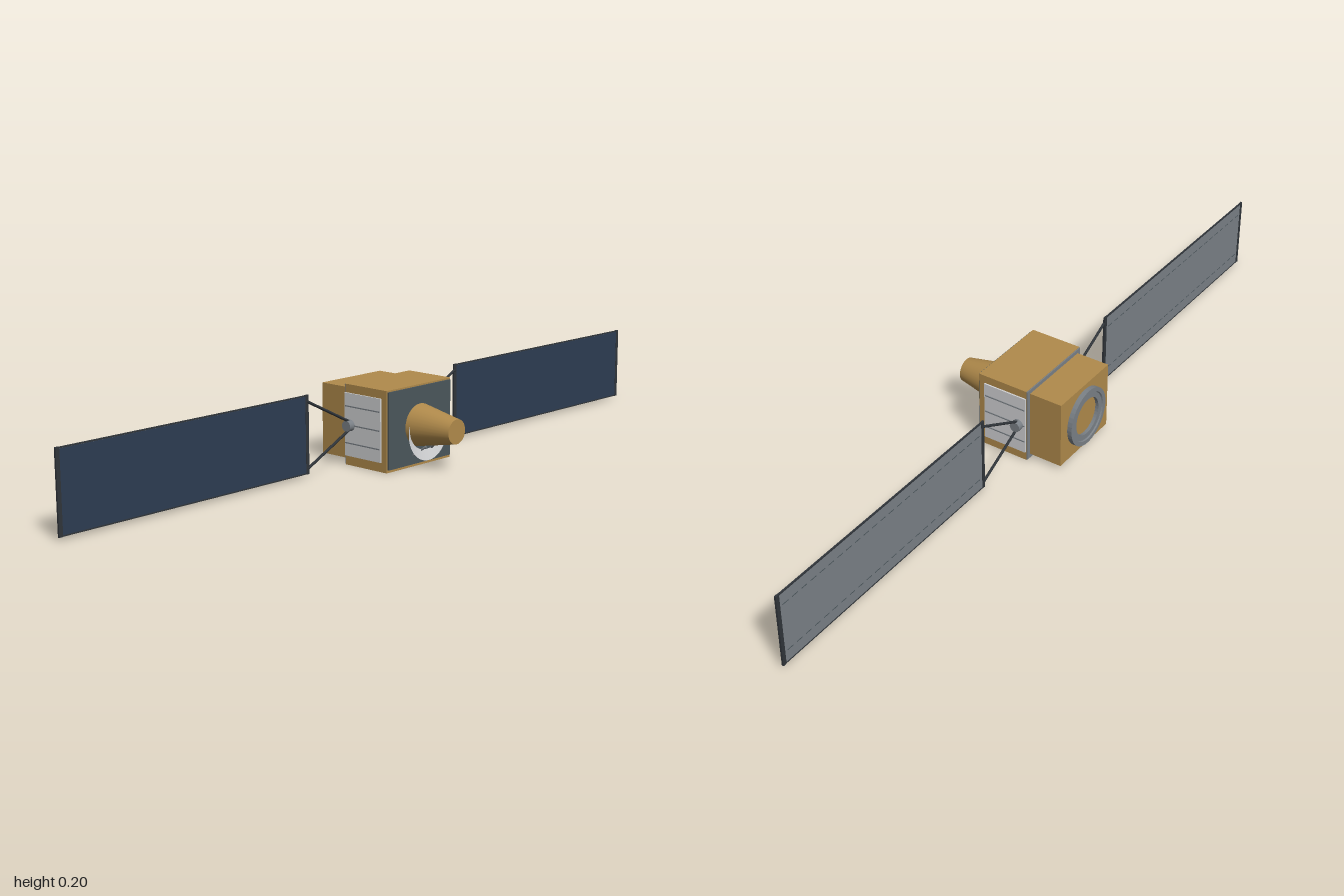
import * as THREE from 'three';

export function createModel() {
  const model = new THREE.Group();
  const mat = (name, color, side = THREE.FrontSide) => {
    const m = new THREE.MeshStandardMaterial({ color, side });
    m.name = name;
    return m;
  };
  const gold = mat('gold foil', 0xb08a4b);
  const grey = mat('metal grey', 0x7a8086);
  const dark = mat('dark grey', 0x4b565b);
  const navy = mat('solar navy', 0x2d3c52);
  const white = mat('radiator white', 0xd2d3d5);
  const black = mat('frame charcoal', 0x30353a);
  const greyBack = mat('dish back grey', 0x7a8086, THREE.BackSide);
  const CY = 0.103;

  const add = (name, geo, material, x = 0, y = 0, z = 0, parent = model) => {
    const mesh = new THREE.Mesh(geo, material);
    mesh.name = name;
    mesh.position.set(x, y, z);
    parent.add(mesh);
    return mesh;
  };
  // Box given by its limits on each axis
  const box = (name, material, x0, x1, y0, y1, z0, z1, parent) =>
    add(name, new THREE.BoxGeometry(Math.abs(x1 - x0), y1 - y0, z1 - z0), material,
      (x0 + x1) / 2, (y0 + y1) / 2, (z0 + z1) / 2, parent);
  // Round strut between two points
  const rod = (name, a, b, r, material, parent) => {
    const p = new THREE.Vector3(...a), q = new THREE.Vector3(...b);
    const d = q.clone().sub(p);
    const m = add(name, new THREE.CylinderGeometry(r, r, d.length(), 8), material, 0, 0, 0, parent);
    m.position.copy(p).add(q).multiplyScalar(0.5);
    m.quaternion.setFromUnitVectors(new THREE.Vector3(0, 1, 0), d.normalize());
    return m;
  };

  // Body boxes and end plates
  box('mainBody', gold, -0.117, 0.117, 0, 0.204, -0.078, 0.06);
  box('bodyBackPlate', grey, -0.116, 0.116, 0.001, 0.203, -0.081, -0.078);
  box('frontPlate', dark, -0.113, 0.113, 0.007, 0.2, 0.058, 0.064);
  box('rearBody', gold, -0.105, 0.105, 0.013, 0.193, -0.17, -0.08);

  // Docking ring on the back, stepped inwards
  const ringProfile = [[0.05, 0], [0.077, 0], [0.077, 0.0125], [0.066, 0.0125],
    [0.064, 0.009], [0.05, 0.009], [0.05, 0]];
  const ringGeo = new THREE.LatheGeometry(ringProfile.map(p => new THREE.Vector2(...p)), 40)
    .toNonIndexed();
  ringGeo.computeVertexNormals();
  ringGeo.rotateX(-Math.PI / 2);
  add('dockingRing', ringGeo, grey, 0, CY, -0.17);

  // Telescope baffle on the front
  const baffle = new THREE.CylinderGeometry(0.031, 0.054, 0.121, 32);
  baffle.rotateX(Math.PI / 2);
  add('frontCone', baffle, gold, 0, CY, 0.1225);

  // Crescent dish hung under the cone, bent from a flat strip
  const dishGeo = new THREE.PlaneGeometry(1, 1, 36, 4);
  const pos = dishGeo.attributes.position;
  for (let i = 0; i < pos.count; i++) {
    const a = pos.getX(i) * 2 * 1.98;
    const v = pos.getY(i) + 0.5;
    const r = 0.07 - 0.027 * v * Math.cos(pos.getX(i) * Math.PI);
    pos.setXYZ(i, r * Math.sin(a), 0.088 - r * Math.cos(a),
      0.09 - 0.3 * (0.07 - r) + 0.003 * Math.cos(a));
  }
  dishGeo.computeVertexNormals();
  add('dishFront', dishGeo, white);
  add('dishBack', dishGeo, greyBack);
  for (const x of [-0.025, 0.025])
    rod('dishStrut', [x, 0.03, 0.063], [x * 0.6, 0.055, 0.097], 0.003, grey);

  for (const s of [-1, 1]) {
    const side = new THREE.Group();
    side.name = s > 0 ? 'leftSide' : 'rightSide';
    model.add(side);

    // Radiator with divider strips
    box('radiator', white, s * 0.116, s * 0.121, 0.024, 0.183, -0.077, 0.043, side);
    for (const y of [0.057, CY, 0.15])
      box('radiatorStrip', grey, s * 0.12, s * 0.1225, y - 0.0015, y + 0.0015, -0.075, 0.04, side);

    // Drive hub and forked yoke
    const hub = new THREE.CylinderGeometry(0.014, 0.014, 0.018, 20);
    hub.rotateZ(Math.PI / 2);
    add('driveHub', hub, grey, s * 0.128, CY, -0.057, side);
    for (const t of [-1, 1])
      rod('yokeArm', [s * 0.125, CY + t * 0.01, -0.057], [s * 0.27, CY + t * 0.083, -0.057],
        0.0035, black, side);

    // Solar wing: backing, cell face and charcoal end bars
    box('wingBacking', grey, s * 0.268, s * 0.998, 0.009, 0.2, -0.059, -0.057, side);
    box('wingCells', navy, s * 0.276, s * 0.99, 0.011, 0.198, -0.057, -0.0555, side);
    for (const [a, b] of [[0.266, 0.276], [0.99, 1]])
      box('wingEndBar', black, s * a, s * b, 0.007, 0.202, -0.06, -0.055, side);
    for (const y of [0.009, 0.2])
      box('wingEdge', black, s * 0.268, s * 0.998, y - 0.0015, y + 0.0015, -0.0595, -0.0555, side);

    // Dashed seams on the wing back
    for (const y of [0.04, 0.168])
      for (let i = 0; i < 24; i++) {
        const x = 0.285 + i * 0.0295;
        box('wingSeam', dark, s * x, s * (x + 0.018), y - 0.001, y + 0.001, -0.0596, -0.0588, side);
      }
  }
  return model;
}
